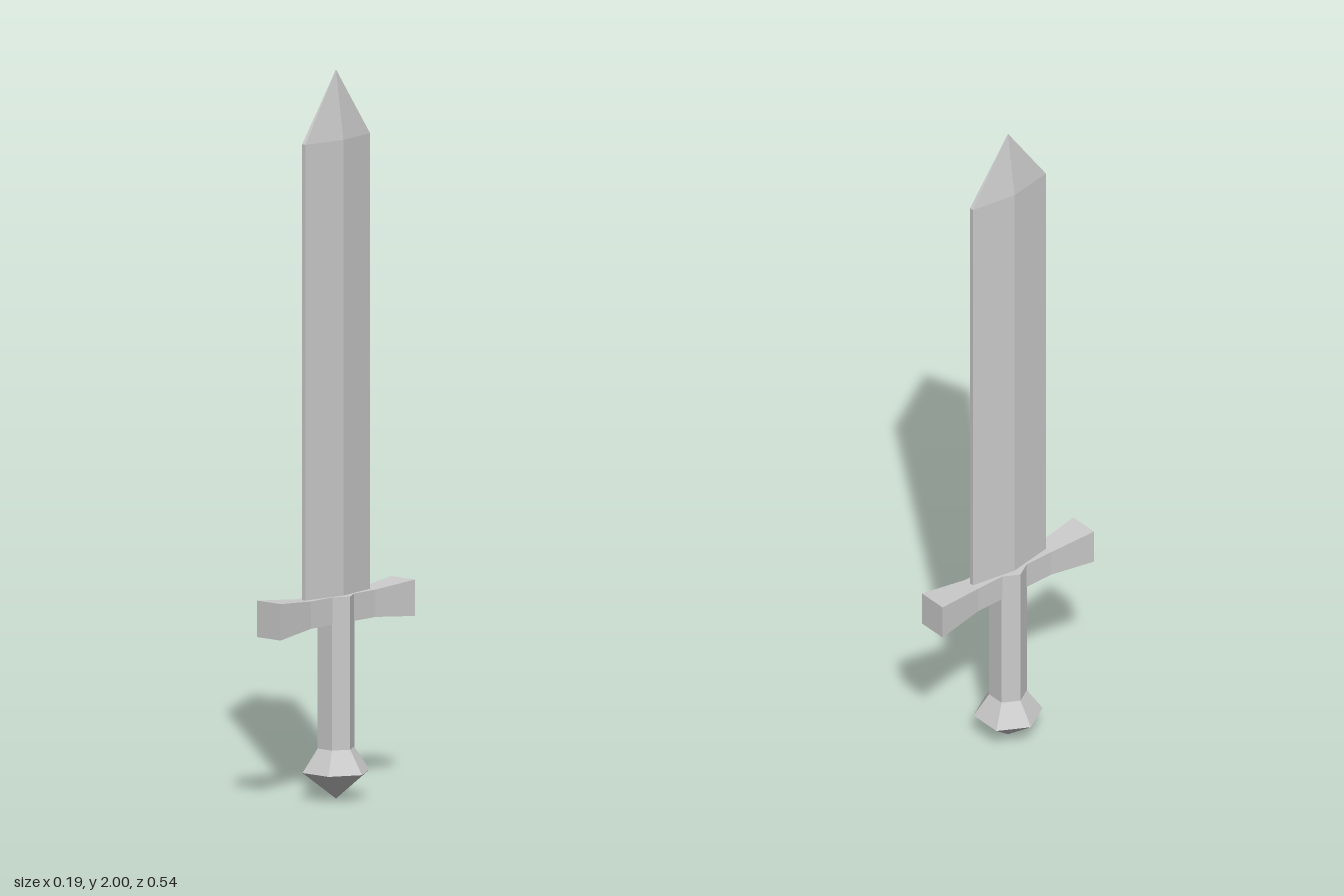
import * as THREE from 'three';

const steel = new THREE.MeshStandardMaterial({ color: 0xcccccc, flatShading: true });
steel.name = 'pale steel';

// Closed faceted solid through rings of points, each counter-clockwise seen from the far end
function loft(rings) {
  const pos = [];
  const tri = (...pts) => pts.forEach((p) => pos.push(...p));
  const n = rings[0].length;
  for (let i = 0; i < rings.length - 1; i++) {
    for (let j = 0; j < n; j++) {
      const k = (j + 1) % n;
      const [lo, hi] = [rings[i], rings[i + 1]];
      tri(lo[j], lo[k], hi[k]);
      tri(lo[j], hi[k], hi[j]);
    }
  }
  const first = rings[0], last = rings[rings.length - 1];
  for (let j = 1; j < n - 1; j++) {
    tri(first[0], first[j + 1], first[j]);
    tri(last[0], last[j], last[j + 1]);
  }
  const geo = new THREE.BufferGeometry();
  geo.setAttribute('position', new THREE.Float32BufferAttribute(pos, 3));
  geo.computeVertexNormals();
  return geo;
}

// Six-sided turned solid with corners on the x axis
function hexLathe(profile) {
  const points = profile.map(([r, y]) => new THREE.Vector2(r, y));
  const geo = new THREE.LatheGeometry(points, 6, Math.PI / 2).toNonIndexed();
  geo.computeVertexNormals();
  return geo;
}

export function createModel() {
  const group = new THREE.Group();
  const add = (name, geo) => {
    const mesh = new THREE.Mesh(geo, steel);
    mesh.name = name;
    group.add(mesh);
  };

  // Blade: flattened diamond section with narrow flat edges, tapering to a point
  const section = (y, s) => [
    [0.006, 0.13], [0.027, 0], [0.006, -0.13],
    [-0.006, -0.13], [-0.027, 0], [-0.006, 0.13],
  ].map(([x, z]) => [x * s, y, z * s]);
  add('blade', loft([section(0.555, 1), section(1.81, 1), section(2, 0.001)]));

  // Crossguard: slim square bar flaring toward both ends
  const rect = (z, w, y0, y1) => [[w, y0, z], [w, y1, z], [-w, y1, z], [-w, y0, z]];
  add('crossguard', loft([
    rect(-0.27, 0.043, 0.472, 0.572),
    rect(-0.13, 0.027, 0.485, 0.56),
    rect(0.13, 0.027, 0.485, 0.56),
    rect(0.27, 0.043, 0.472, 0.572),
  ]));

  // Grip and pointed pommel
  add('grip', hexLathe([[0.052, 0.14], [0.052, 0.56], [0, 0.56]]));
  add('pommel', hexLathe([[0, 0], [0.095, 0.075], [0.052, 0.14], [0, 0.14]]));

  return group;
}
